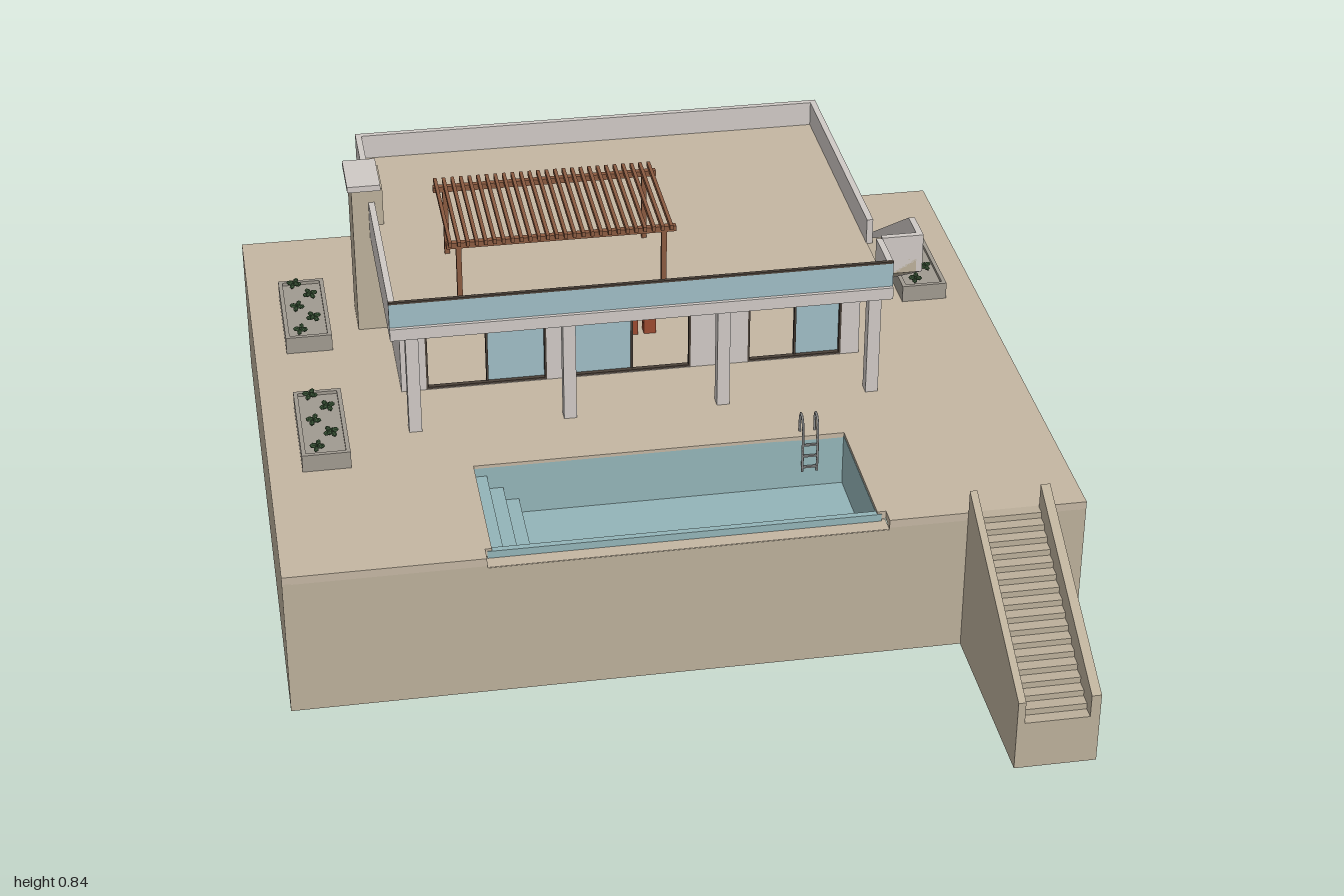
import * as THREE from 'three';

const mats = {};
const mat = (color) => (mats[color] ??= new THREE.MeshStandardMaterial({ color, side: THREE.DoubleSide }));
const GREY = 0xcfc9c5, PAVING = 0xc4b6a2, STONE = 0xbbaf9a, GLASS = 0x9fbdc5, POOL = 0x93b4b8;
const WOOD = 0x8a5a40, DARK = 0x4a4038, PLANTER = 0xa09a90, LEAF = 0x3f5c3c, CABINET = 0xa98258;
const GROUND = 0.36;

function add(parent, name, geometry, color) {
  const mesh = new THREE.Mesh(geometry, mat(color));
  mesh.name = name;
  parent.add(mesh);
  return mesh;
}

// Box given by its extents
function box(parent, name, color, x0, x1, y0, y1, z0, z1) {
  const m = add(parent, name, new THREE.BoxGeometry(x1 - x0, y1 - y0, z1 - z0), color);
  m.position.set((x0 + x1) / 2, (y0 + y1) / 2, (z0 + z1) / 2);
  return m;
}

const rect = ([a, b, c, d]) => [[a, c], [b, c], [b, d], [a, d]];
const vec = (pts) => pts.map(([x, y]) => new THREE.Vector2(x, y));

// Extruded polygon; holes are [u0, u1, v0, v1]
function prism(pts, depth, holes = []) {
  const shape = new THREE.Shape(vec(pts));
  shape.holes = holes.map((h) => new THREE.Path(vec(rect(h))));
  return new THREE.ExtrudeGeometry(shape, { depth, bevelEnabled: false });
}

// Profile in (-z, y), extruded from x0 to x1
function sideProfile(parent, name, color, pts, x0, x1, holes) {
  const g = prism(pts, x1 - x0, holes).rotateY(Math.PI / 2).translate(x0, 0, 0);
  return add(parent, name, g, color);
}

// Stepped edge rising from (s0, y0) to (s1, y1)
function stepEdge(s0, y0, s1, y1, n) {
  const pts = [];
  for (let i = 0; i < n; i++) {
    const y = y0 + ((y1 - y0) * (i + 1)) / n;
    pts.push([s0 + ((s1 - s0) * i) / n, y], [s0 + ((s1 - s0) * (i + 1)) / n, y]);
  }
  return pts;
}

function group(parent, name) {
  const g = new THREE.Group();
  g.name = name;
  parent.add(g);
  return g;
}

function buildTerrace(root) {
  const g = group(root, 'terrace');
  const deck = [[-0.905, -1], [0.905, -1], [0.905, 0.533], [0.45, 0.533], [0.45, 0.495], [0.43, 0.495],
    [0.43, 0.155], [-0.44, 0.155], [-0.44, 0.495], [-0.455, 0.495], [-0.455, 0.533], [-0.905, 0.533]];
  add(g, 'deck', prism(deck, 0.02).rotateX(Math.PI / 2).translate(0, GROUND, 0), PAVING);
  for (const s of [-1, 1]) {
    const x = s * 0.895;
    box(g, 'sideRetainingWall', STONE, x - 0.01, x + 0.01, 0, 0.342, -1, 0.533);
  }
  const front = [[-0.885, 0], [0.885, 0], [0.885, 0.341], [0.45, 0.341], [0.45, 0.335], [-0.455, 0.335], [-0.455, 0.341], [-0.885, 0.341]];
  add(g, 'frontRetainingWall', prism(front, 0.02).translate(0, 0, 0.513), STONE);
  box(g, 'overflowLedge', PAVING, -0.455, 0.45, 0.32, 0.336, 0.49, 0.532);

  // Entrance stairs with sloping side walls
  const steps = [[-1, 0], ...stepEdge(-1, 0.105, -0.53, 0.36, 17), [-0.53, 0]];
  sideProfile(g, 'entranceSteps', STONE, steps, 0.645, 0.795);
  const cheek = [[-1, 0], [-1, 0.175], [-0.535, 0.42], [-0.535, 0]];
  sideProfile(g, 'entranceStairWall', STONE, cheek, 0.63, 0.647);
  sideProfile(g, 'entranceStairWall', STONE, cheek, 0.793, 0.815);
}

function buildPool(root) {
  const g = group(root, 'pool');
  box(g, 'poolFloor', POOL, -0.45, 0.44, 0.21, 0.222, 0.145, 0.495);
  box(g, 'poolBackWall', POOL, -0.45, 0.44, 0.222, 0.352, 0.145, 0.155);
  box(g, 'poolFrontLip', POOL, -0.45, 0.44, 0.222, 0.354, 0.482, 0.497);
  box(g, 'poolEndWall', POOL, -0.45, -0.439, 0.222, 0.352, 0.155, 0.482);
  box(g, 'poolEndWall', POOL, 0.429, 0.44, 0.222, 0.352, 0.155, 0.482);
  [-0.41, -0.373, -0.337].forEach((x, i) =>
    box(g, 'poolStep', POOL, -0.44, x, 0.222, 0.33 - i * 0.035, 0.155, 0.482));
  for (const x of [0.33, 0.365]) {
    const rail = new THREE.CatmullRomCurve3([[0.36, 0.13], [0.395, 0.128], [0.413, 0.138], [0.405, 0.157], [0.36, 0.166], [0.27, 0.166]]
      .map(([y, z]) => new THREE.Vector3(x, y, z)));
    add(g, 'ladderRail', new THREE.TubeGeometry(rail, 20, 0.003, 6), 0x8c8c8c);
  }
  for (const y of [0.28, 0.31, 0.34]) box(g, 'ladderRung', 0x8c8c8c, 0.33, 0.365, y, y + 0.004, 0.163, 0.169);
}

// Thin frame and glass pane; 'z' lies in the front plane, 'x' in the side plane
function glazing(parent, name, axis, u0, u1, v0, v1, at, glass = true) {
  const put = (n, color, a, b, c, d, t) => (axis === 'z'
    ? box(parent, n, color, a, b, c, d, at - t, at + t)
    : box(parent, n, color, at - t, at + t, c, d, a, b));
  const w = 0.005;
  if (glass) put(name, GLASS, u0 + w, u1 - w, v0 + w, v1 - w, 0.002);
  put(name + 'Frame', DARK, u0, u0 + w, v0, v1, 0.006);
  put(name + 'Frame', DARK, u1 - w, u1, v0, v1, 0.006);
  put(name + 'Frame', DARK, u0, u1, v1 - w, v1, 0.006);
  put(name + 'Frame', DARK, u0, u1, v0, v0 + w, 0.006);
}

function buildHouse(root) {
  const g = group(root, 'house');
  const base = 0.355, top = 0.616, sill = 0.361, t = 0.018;
  // Front and back walls with openings
  const doors = [[-0.51, -0.22, sill, 0.565], [-0.16, 0.13, sill, 0.565], [0.27, 0.5, sill, 0.565]];
  add(g, 'frontWall', prism(rect([-0.57, 0.545, base, top]), t, doors).translate(0, 0, -0.2 - t), GREY);
  const backs = [[-0.484, -0.25, 0.455, 0.54], [-0.035, 0.035, sill, 0.545], [0.32, 0.467, 0.43, 0.54]];
  add(g, 'backWall', prism(rect([-0.57, 0.545, base, top]), t, backs).translate(0, 0, -0.852), GREY);
  const sideWindow = [0.69, 0.785, 0.43, 0.53];
  for (const x of [-0.57, 0.545 - t]) {
    sideProfile(g, 'sideWall', GREY, rect([0.2 + t, 0.852 - t, base, top]), x, x + t, [sideWindow]);
    glazing(g, 'sideWindow', 'x', -0.785, -0.69, 0.43, 0.53, x + t / 2);
  }
  for (const [a, b, c, d] of doors) glazing(g, 'slidingDoor', 'z', a, b, c, d, -0.206, false);
  for (const [a, b] of [[-0.365, -0.22], [-0.16, -0.01], [0.385, 0.5]])
    glazing(g, 'slidingDoorPane', 'z', a, b, sill, 0.565, -0.213);
  backs.forEach(([a, b, c, d], i) => glazing(g, i === 1 ? 'backDoor' : 'backWindow', 'z', a, b, c, d, -0.845, i !== 1));
  box(g, 'openDoorLeaf', WOOD, -0.035, -0.03, sill, 0.54, -0.835, -0.77);
  for (const x of [-0.08, 0.08]) box(g, 'wallLamp', DARK, x - 0.006, x + 0.006, 0.495, 0.515, -0.863, -0.851);

  // Porch columns
  for (const x of [-0.555, -0.19, 0.175, 0.535]) box(g, 'porchColumn', GREY, x - 0.015, x + 0.015, GROUND, top, -0.045, -0.015);

  // Roof slab, parapets and glass balustrade
  box(g, 'roofSlab', GREY, -0.605, 0.575, 0.615, 0.645, -0.885, -0.005);
  box(g, 'roofFloor', PAVING, -0.592, 0.562, 0.644, 0.648, -0.872, -0.02);
  box(g, 'parapetLeft', GREY, -0.605, -0.59, 0.645, 0.71, -0.885, -0.02);
  box(g, 'parapetBack', GREY, -0.59, 0.56, 0.645, 0.71, -0.885, -0.87);
  box(g, 'parapetRight', GREY, 0.56, 0.575, 0.645, 0.71, -0.885, -0.225);
  box(g, 'parapetRight', GREY, 0.56, 0.575, 0.645, 0.71, -0.13, -0.02);
  box(g, 'balustradeGlass', GLASS, -0.605, 0.575, 0.645, 0.708, -0.019, -0.014);
  box(g, 'balustradeRail', DARK, -0.605, 0.575, 0.706, 0.711, -0.021, -0.012);
  for (let i = 0; i <= 6; i++) {
    const x = -0.602 + (i * 1.174) / 6;
    box(g, 'balustradePost', 0x777777, x - 0.003, x + 0.003, 0.645, 0.71, -0.024, -0.017);
  }

  // Outside stair to the roof
  const flight = [[0.67, GROUND], ...stepEdge(0.67, GROUND, 0.225, 0.646, 17), [0.13, 0.646], [0.13, 0.612], [0.54, GROUND]];
  sideProfile(g, 'roofStair', STONE, flight, 0.545, 0.66);
  const guard = [[0.67, GROUND], [0.67, 0.42], [0.22, 0.71], [0.13, 0.71], [0.13, 0.612], [0.54, GROUND]];
  sideProfile(g, 'roofStairGuard', GREY, guard, 0.66, 0.675);
  box(g, 'landingGuard', GREY, 0.575, 0.66, 0.615, 0.71, -0.145, -0.13);

  // Chimney
  box(g, 'chimney', STONE, -0.645, -0.57, GROUND, 0.745, -0.637, -0.512);
  box(g, 'chimneyCap', GREY, -0.655, -0.575, 0.745, 0.76, -0.645, -0.502);
}

function buildInterior(root) {
  const g = group(root, 'interior');
  box(g, 'kitchenCounter', CABINET, -0.51, -0.25, GROUND, 0.425, -0.8, -0.72);
  box(g, 'counterTop', DARK, -0.515, -0.245, 0.425, 0.431, -0.805, -0.715);
  box(g, 'tableTop', WOOD, -0.01, 0.085, 0.402, 0.41, -0.56, -0.42);
  for (const x of [0, 0.075]) for (const z of [-0.55, -0.43])
    box(g, 'tableLeg', WOOD, x - 0.004, x + 0.004, GROUND, 0.402, z - 0.004, z + 0.004);
  for (const x of [0.015, 0.06]) for (const z of [-0.59, -0.39]) {
    box(g, 'chairSeat', 0x9a4a30, x - 0.015, x + 0.015, GROUND, 0.385, z - 0.015, z + 0.015);
    const back = z + Math.sign(z + 0.49) * 0.013;
    box(g, 'chairBack', 0x9a4a30, x - 0.015, x + 0.015, 0.385, 0.42, back - 0.002, back + 0.002);
  }
  const shade = add(g, 'lampShade', new THREE.CylinderGeometry(0.015, 0.06, 0.05, 20, 1, true), 0xb0aa90);
  shade.position.set(0.04, 0.53, -0.49);
  const cord = add(g, 'lampCord', new THREE.CylinderGeometry(0.002, 0.002, 0.065, 6), DARK);
  cord.position.set(0.04, 0.585, -0.49);
}

function buildPergola(root) {
  const g = group(root, 'pergola');
  for (const z of [-0.345, -0.065]) {
    for (const x of [-0.435, 0.04]) box(g, 'pergolaPost', WOOD, x - 0.006, x + 0.006, 0.646, 0.815, z - 0.006, z + 0.006);
    box(g, 'pergolaBeam', WOOD, -0.463, 0.068, 0.813, 0.827, z - 0.007, z + 0.007);
  }
  for (let i = 0; i < 26; i++) {
    const x = -0.455 + (i * 0.51) / 25;
    box(g, 'pergolaSlat', WOOD, x - 0.004, x + 0.004, 0.824, 0.836, -0.37, -0.045);
  }
}

function buildPlanter(root, x, z) {
  const g = group(root, 'planter');
  g.position.set(x, GROUND, z);
  const ring = prism(rect([-0.056, 0.056, -0.143, 0.143]), 0.043, [[-0.046, 0.046, -0.133, 0.133]]);
  add(g, 'planterBox', ring.rotateX(Math.PI / 2).translate(0, 0.043, 0), PLANTER);
  box(g, 'planterSoil', PLANTER, -0.046, 0.046, 0, 0.035, -0.133, 0.133);
  for (let i = 0; i < 5; i++) {
    const px = i % 2 ? 0.018 : -0.018, pz = -0.115 + i * 0.0575;
    // Leaves fan out around each plant
    for (let k = 0; k < 6; k++) {
      const a = (k * Math.PI) / 3 + i;
      const leaf = add(g, 'plantLeaf', new THREE.IcosahedronGeometry(0.009, 0).scale(1, 0.7, 0.7), LEAF);
      leaf.position.set(px + Math.cos(a) * 0.01, 0.047 + (k % 2) * 0.006, pz + Math.sin(a) * 0.01);
      leaf.rotation.y = -a;
    }
  }
}

export function createModel() {
  const root = new THREE.Group();
  root.name = 'poolVilla';
  buildTerrace(root);
  buildPool(root);
  buildHouse(root);
  buildInterior(root);
  buildPergola(root);
  for (const [x, z] of [[-0.772, -0.567], [-0.772, -0.028], [0.765, -0.567]]) buildPlanter(root, x, z);
  return root;
}
